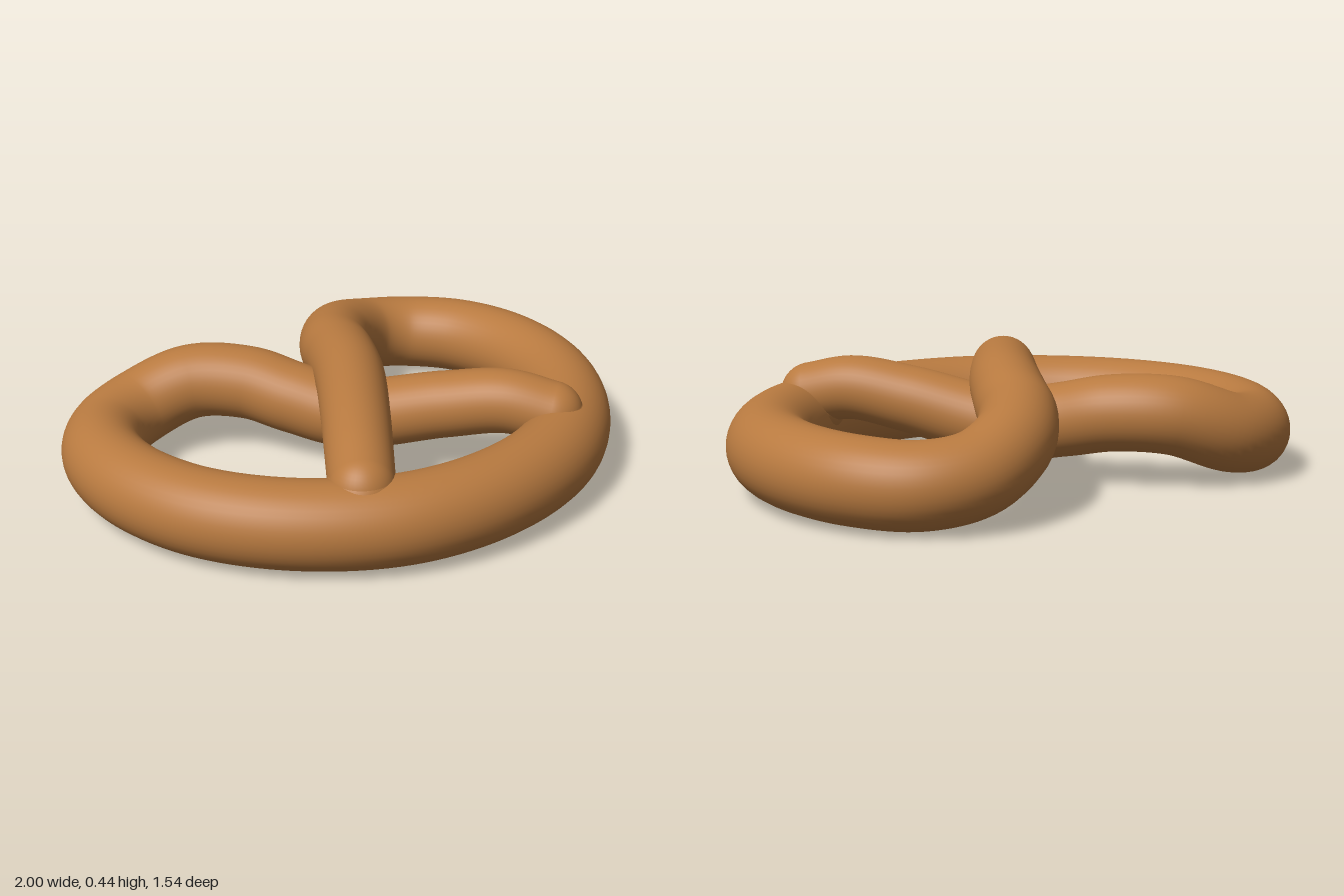
import * as THREE from 'three';

// One half of the dough path as [x, z, y of upper arm, y of lower arm],
// from the front middle, round the side loop, across the centre to the arm end
const HALF = [
  [0.34, 0.557, 0.15, 0.15],
  [0.615, 0.367, 0.151, 0.151],
  [0.795, 0.11, 0.152, 0.152],
  [0.859, -0.17, 0.153, 0.153],
  [0.815, -0.42, 0.15, 0.15],
  [0.69, -0.585, 0.147, 0.147],
  [0.53, -0.637, 0.168, 0.172],
  [0.345, -0.575, 0.225, 0.238],
  [0.2, -0.43, 0.268, 0.242],
  [0.11, -0.28, 0.297, 0.208],
  [0, -0.105, 0.317, 0.178],
  [-0.2, 0.165, 0.312, 0.246],
  [-0.33, 0.335, 0.289, 0.279],
  [-0.425, 0.46, 0.257, 0.252],
];

// Thickest at the front middle, thinner towards the arm ends
const radiusAt = (u) => 0.147 - 0.039 * Math.pow(Math.abs(2 * u - 1), 2);

function taperedTube(path, segments, sides) {
  const geometry = new THREE.TubeGeometry(path, segments, 1, sides, false);
  const pos = geometry.attributes.position;
  const v = new THREE.Vector3();
  for (let i = 0; i <= segments; i++) {
    const centre = path.getPointAt(i / segments);
    const r = radiusAt(i / segments);
    for (let j = 0; j <= sides; j++) {
      const k = i * (sides + 1) + j;
      v.fromBufferAttribute(pos, k).sub(centre).multiplyScalar(r).add(centre);
      pos.setXYZ(k, v.x, v.y, v.z);
    }
  }
  return geometry;
}

export function createModel() {
  const group = new THREE.Group();
  group.name = 'pretzel';
  const crust = new THREE.MeshStandardMaterial({ color: 0xb87a40 });
  crust.name = 'baked crust';

  // Both halves joined into one continuous rope
  const upper = HALF.map(([x, z, y]) => new THREE.Vector3(x, y, z));
  const lower = HALF.map(([x, z, , y]) => new THREE.Vector3(-x, y, z));
  const path = new THREE.CatmullRomCurve3(
    [...upper.reverse(), new THREE.Vector3(0, 0.149, 0.62), ...lower], false, 'centripetal');
  path.arcLengthDivisions = 1000;

  const rope = new THREE.Mesh(taperedTube(path, 320, 40), crust);
  rope.name = 'twistedRope';
  group.add(rope);

  // Rounded arm ends pressed into the ring, each with a wider foot that softens the joint
  [['upperArm', 0], ['lowerArm', 1]].forEach(([name, u]) => {
    [['End', 1, 0], ['Foot', 1.15, -0.035]].forEach(([part, scale, drop]) => {
      const ball = new THREE.Mesh(new THREE.SphereGeometry(radiusAt(u) * scale, 40, 24), crust);
      ball.name = name + part;
      ball.position.copy(path.getPointAt(u));
      ball.position.y += drop;
      group.add(ball);
    });
  });

  return group;
}
